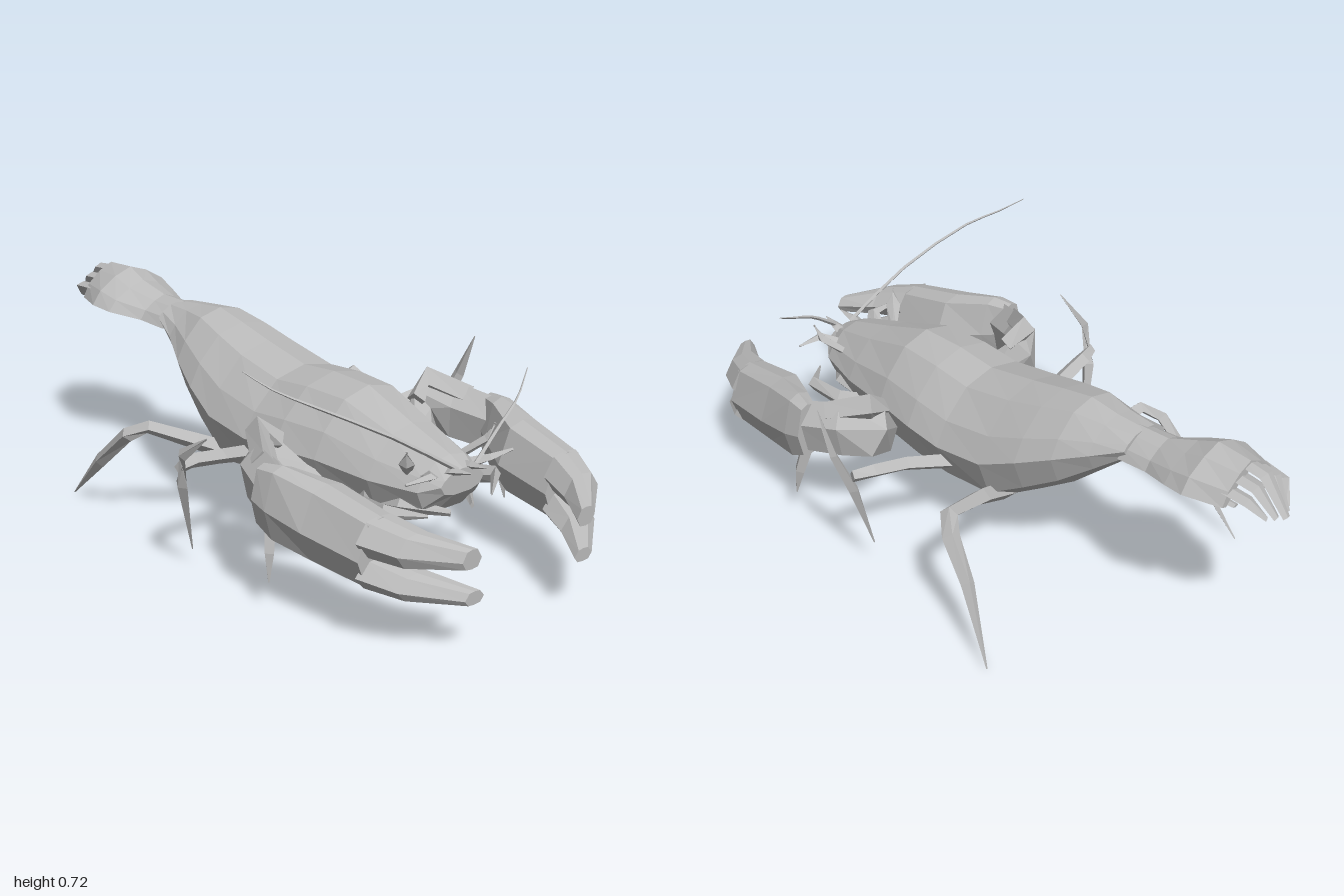
import * as THREE from 'three';

const V = (p) => new THREE.Vector3(...p);
const shell = new THREE.MeshStandardMaterial({ color: 0xbababa, flatShading: true, side: THREE.DoubleSide });
shell.name = 'grey shell';

// Skin a list of equal-sized rings, closing both ends with fans
function loft(name, rings) {
  const pos = [];
  const n = rings[0].length;
  const tri = (...pts) => pts.forEach((p) => pos.push(p.x, p.y, p.z));
  for (let i = 0; i < rings.length - 1; i++) {
    for (let j = 0; j < n; j++) {
      const k = (j + 1) % n;
      const a = rings[i][j], b = rings[i][k], c = rings[i + 1][k], d = rings[i + 1][j];
      tri(a, b, c);
      tri(a, c, d);
    }
  }
  const first = rings[0], last = rings[rings.length - 1];
  for (let j = 1; j < n - 1; j++) {
    tri(first[0], first[j + 1], first[j]);
    tri(last[0], last[j], last[j + 1]);
  }
  const g = new THREE.BufferGeometry();
  g.setAttribute('position', new THREE.Float32BufferAttribute(pos, 3));
  g.computeVertexNormals();
  const mesh = new THREE.Mesh(g, shell);
  mesh.name = name;
  return mesh;
}

// Upright section at z: half profile (x, y as fractions) mirrored about the centre
function section(half, [z, cx, hw, y0, y1]) {
  const at = (s) => ([x, y]) => V([cx + s * x * hw, y0 + (y1 - y0) * y, z]);
  return [...half.map(at(1)), ...half.filter(([x]) => x > 0).reverse().map(at(-1))];
}

// Tapered limb: each point is [x, y, z, half width, half height]
function limb(name, pts, sides = 4) {
  const c = pts.map((p) => V(p.slice(0, 3)));
  const rings = pts.map((p, i) => {
    const t = c[Math.min(i + 1, c.length - 1)].clone().sub(c[Math.max(i - 1, 0)]).normalize();
    const up = Math.abs(t.y) > 0.9 ? V([0, 0, 1]) : V([0, 1, 0]);
    const side = up.clone().cross(t).normalize();
    const top = t.clone().cross(side);
    return Array.from({ length: sides }, (_, j) => {
      const a = (j / sides) * Math.PI * 2 + Math.PI / 2;
      return c[i].clone().addScaledVector(side, Math.cos(a) * p[3]).addScaledVector(top, Math.sin(a) * p[4]);
    });
  });
  return loft(name, rings);
}

// Claw piece from upright sections [z, cx, half width, bottom, top]
const clawHalf = [[0, 1], [0.55, 0.94], [1, 0.46], [0.62, 0.05], [0, 0]];
const clawPart = (name, rows) => loft(name, rows.map((r) => section(clawHalf, r)));

// Everything paired at the front, built on the left side
function frontPair() {
  const g = new THREE.Group();
  g.add(
    limb('clawArm', [
      [0.02, 0.215, 0.44, 0.045, 0.03], [0.12, 0.225, 0.41, 0.05, 0.035], [0.23, 0.28, 0.31, 0.05, 0.065],
      [0.31, 0.35, 0.25, 0.05, 0.085], [0.37, 0.355, 0.32, 0.055, 0.09], [0.415, 0.335, 0.44, 0.05, 0.085],
    ], 5),
    limb('armKnee', [[0.26, 0.4, 0.27, 0.03, 0.03], [0.32, 0.44, 0.25, 0.035, 0.045], [0.39, 0.4, 0.36, 0.03, 0.04]]),
    clawPart('clawPalm', [
      [0.41, 0.425, 0.045, 0.25, 0.425], [0.47, 0.41, 0.063, 0.218, 0.432],
      [0.6, 0.365, 0.094, 0.198, 0.41], [0.79, 0.345, 0.082, 0.182, 0.375],
    ]),
    clawPart('upperFinger', [
      [0.78, 0.346, 0.08, 0.27, 0.376], [0.88, 0.307, 0.068, 0.26, 0.35], [0.985, 0.212, 0.034, 0.26, 0.315],
    ]),
    clawPart('lowerFinger', [
      [0.78, 0.346, 0.08, 0.182, 0.27], [0.88, 0.302, 0.068, 0.168, 0.238], [0.99, 0.204, 0.034, 0.16, 0.198],
    ]),
    limb('clawSpur', [[0.42, 0.27, 0.43, 0.02, 0.025], [0.44, 0.18, 0.45, 0.016, 0.02], [0.45, 0.1, 0.46, 0.002, 0.003]]),
    // Hooked mouth limbs and short feelers
    limb('mouthLimb', [
      [0.13, 0.27, 0.48, 0.02, 0.03], [0.19, 0.28, 0.55, 0.02, 0.03],
      [0.21, 0.3, 0.65, 0.016, 0.025], [0.12, 0.29, 0.725, 0.003, 0.005],
    ]),
    limb('innerMouthLimb', [[0.1, 0.26, 0.5, 0.03, 0.03], [0.12, 0.29, 0.62, 0.02, 0.025], [0.04, 0.28, 0.73, 0.006, 0.01]]),
    limb('shortFeeler', [[0.1, 0.38, 0.62, 0.012, 0.012], [0.15, 0.43, 0.67, 0.022, 0.012], [0.165, 0.475, 0.685, 0.004, 0.004]]),
    limb('feelerBase', [[0.06, 0.37, 0.66, 0.03, 0.02], [0.11, 0.4, 0.72, 0.02, 0.01], [0.2, 0.4, 0.72, 0.004, 0.004]]),
    limb('beakSpike', [[0.03, 0.38, 0.68, 0.025, 0.02], [0.035, 0.4, 0.73, 0.018, 0.012], [0.03, 0.41, 0.79, 0.002, 0.002]]),
  );
  return g;
}

export function createModel() {
  const model = new THREE.Group();
  model.name = 'lobster';

  // Main body, head to waist
  const bodyHalf = [[0, 1], [0.45, 0.93], [0.82, 0.69], [1, 0.47], [0.82, 0.14], [0.4, 0]];
  const bodyRows = [
    [0.73, 0, 0.08, 0.33, 0.4], [0.68, 0, 0.12, 0.27, 0.425], [0.53, 0, 0.165, 0.23, 0.47], [0.35, 0, 0.2, 0.2, 0.53],
    [0.2, 0, 0.222, 0.19, 0.53], [0.07, 0, 0.228, 0.185, 0.515], [-0.1, 0, 0.222, 0.19, 0.545],
    [-0.22, 0, 0.2, 0.265, 0.57], [-0.33, 0, 0.165, 0.335, 0.59], [-0.43, 0, 0.12, 0.42, 0.577], [-0.52, -0.01, 0.085, 0.495, 0.567],
  ];
  model.add(loft('body', bodyRows.map((r) => section(bodyHalf, r))));

  // Arched tail shell, hollow below
  const tailHalf = [[0, 1], [0.4, 0.8], [0.8, 0.45], [1, 0.05], [0.85, 0], [0.4, 0.5], [0, 0.72]];
  const tailRows = [
    [-0.5, -0.01, 0.088, 0.495, 0.57], [-0.6, -0.015, 0.092, 0.5, 0.57], [-0.69, -0.03, 0.135, 0.515, 0.598],
    [-0.76, -0.03, 0.148, 0.522, 0.627], [-0.87, -0.03, 0.11, 0.515, 0.618],
  ];
  model.add(loft('tail', tailRows.map((r) => section(tailHalf, r))));

  // Drooping tail fan blades, longest in the middle
  for (let i = -2; i <= 2; i++) {
    const x = -0.033 + i * 0.038, drop = Math.abs(i);
    model.add(limb('tailBlade', [
      [x, 0.605 - drop * 0.025, -0.84, 0.026, 0.01], [x - i * 0.003, 0.595 - drop * 0.025, -0.92, 0.026, 0.01],
      [x - i * 0.018, 0.495, -0.997 + drop * 0.018, 0.014, 0.006],
    ]));
  }

  // Small swimming limbs tucked under the tail
  for (const s of [-1, 1]) {
    model.add(limb('swimmingLimb', [
      [s * 0.04 - 0.01, 0.52, -0.54, 0.015, 0.015], [s * 0.07 - 0.025, 0.515, -0.68, 0.025, 0.01], [s * 0.06 - 0.025, 0.51, -0.88, 0.012, 0.005],
    ]));
  }

  // Claws and mouth parts, mirrored
  for (const s of [1, -1]) {
    const pair = frontPair();
    pair.name = s > 0 ? 'leftFrontLimbs' : 'rightFrontLimbs';
    pair.scale.x = s;
    model.add(pair);
  }

  // Rear walking legs
  model.add(
    limb('leftRearLeg', [
      [0.1, 0.205, -0.09, 0.035, 0.03], [0.24, 0.27, -0.13, 0.032, 0.025], [0.42, 0.33, -0.185, 0.026, 0.02],
      [0.465, 0.3, -0.24, 0.026, 0.022], [0.49, 0.2, -0.33, 0.02, 0.02], [0.55, 0.012, -0.465, 0.002, 0.002],
    ]),
    limb('rightRearLeg', [
      [-0.1, 0.205, -0.09, 0.035, 0.03], [-0.24, 0.27, -0.145, 0.032, 0.025], [-0.37, 0.33, -0.2, 0.026, 0.02],
      [-0.41, 0.3, -0.25, 0.02, 0.022], [-0.41, 0.17, -0.4, 0.016, 0.022], [-0.4, 0.01, -0.565, 0.002, 0.002],
    ]),
  );

  // Middle legs: a thigh ending in a long upright blade
  const middleLeg = (name, s, tip, foot) => model.add(
    limb(name + 'Thigh', [
      [s * 0.18, 0.28, 0.05, 0.03, 0.025], [s * 0.33, 0.32, 0.095, 0.028, 0.022],
      [s * 0.44, 0.34, 0.11, 0.025, 0.022], [s * 0.5, 0.34, 0.13, 0.016, 0.02],
    ]),
    limb(name + 'Blade', [tip, [s * 0.525, 0.4, 0.18, 0.012, 0.02], [s * 0.495, 0.29, 0.135, 0.016, 0.024], foot]),
  );
  middleLeg('leftMiddleLeg', 1, [0.53, 0.53, 0.235, 0.002, 0.002], [0.455, 0.1, 0.1, 0.002, 0.002]);
  middleLeg('rightMiddleLeg', -1, [-0.515, 0.475, 0.28, 0.002, 0.002], [-0.43, 0.06, 0.09, 0.002, 0.002]);

  // Long feelers
  const feeler = (name, pts) => {
    const curve = new THREE.CatmullRomCurve3(pts.map(V));
    const rows = curve.getPoints(8).map((p, i) => [p.x, p.y, p.z, 0.007 - i * 0.0007, 0.007 - i * 0.0007]);
    model.add(limb(name, rows));
  };
  feeler('rightFeeler', [[-0.02, 0.4, 0.73], [-0.22, 0.53, 0.69], [-0.42, 0.64, 0.61], [-0.5, 0.685, 0.54], [-0.55, 0.73, 0.48]]);
  feeler('leftFeeler', [[0.03, 0.4, 0.74], [0.14, 0.48, 0.72], [0.24, 0.53, 0.69], [0.33, 0.585, 0.64]]);

  return model;
}
